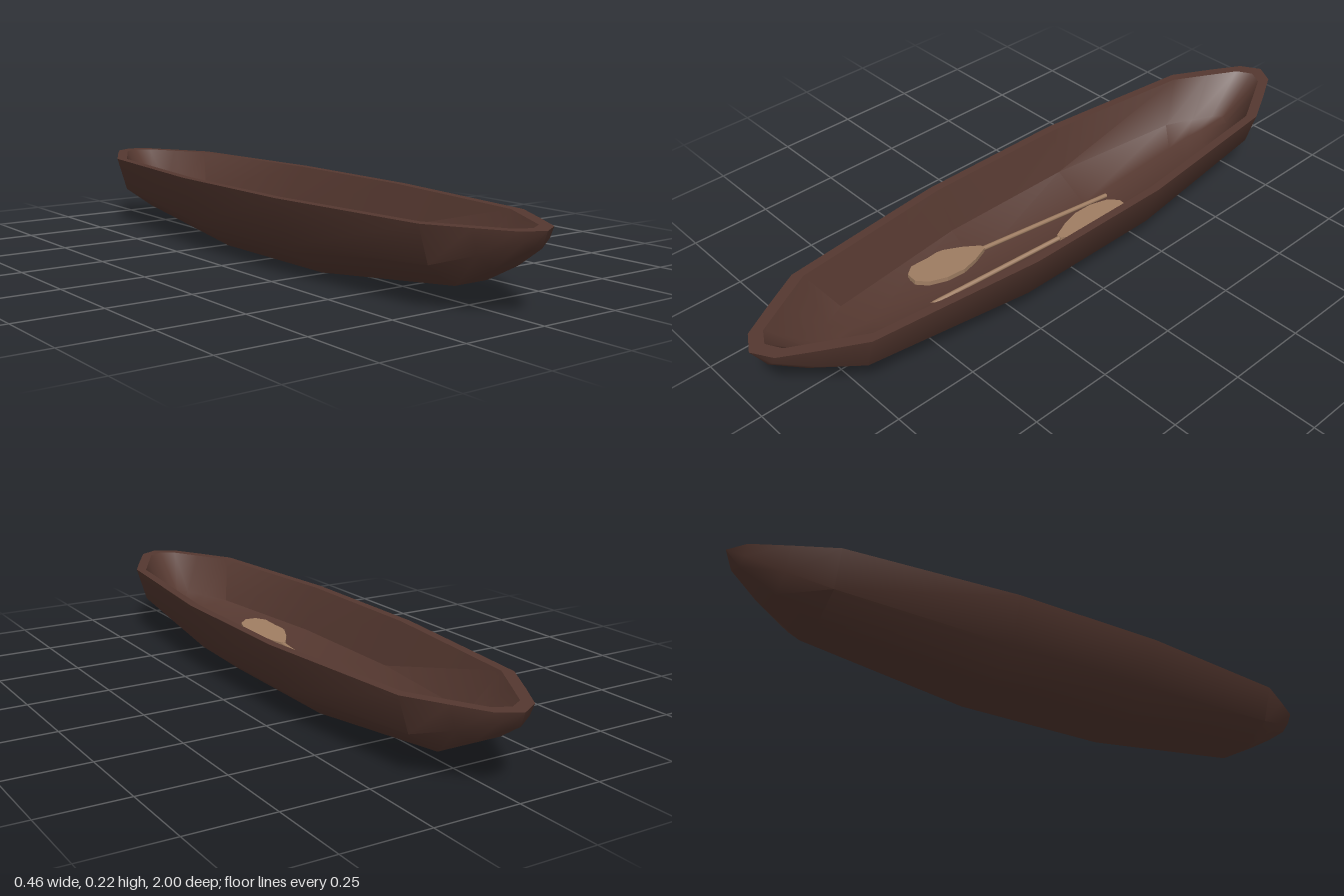
import * as THREE from 'three';
import { toCreasedNormals } from 'three/addons/utils/BufferGeometryUtils.js';

const hullWood = new THREE.MeshStandardMaterial({ color: 0x553830 });
hullWood.name = 'darkWood';
const paddleWood = new THREE.MeshStandardMaterial({ color: 0x9f7d62 });
paddleWood.name = 'lightWood';

// Half outlines [x, y, z] of each hull line, from the tip to amidships
const lines = [
  // outside: rim, chine, keel edge
  [[0, 0.225, 1], [0.06, 0.225, 0.965], [0.115, 0.225, 0.87], [0.178, 0.225, 0.755], [0.232, 0.225, 0.24]],
  [[0, 0.225, 1], [0.045, 0.197, 0.965], [0.095, 0.157, 0.87], [0.145, 0.12, 0.755], [0.19, 0.088, 0.24]],
  [[0, 0.225, 1], [0.02, 0.175, 0.965], [0.042, 0.115, 0.87], [0.055, 0.057, 0.755], [0.072, 0, 0.24]],
  // inside: floor, chine, rim
  [[0, 0.095, 0.76], [0.02, 0.09, 0.73], [0.03, 0.084, 0.68], [0.04, 0.068, 0.6], [0.055, 0.03, 0.22]],
  [[0, 0.115, 0.82], [0.03, 0.113, 0.8], [0.065, 0.108, 0.74], [0.11, 0.1, 0.66], [0.165, 0.095, 0.22]],
  [[0, 0.225, 0.955], [0.045, 0.225, 0.93], [0.095, 0.225, 0.84], [0.153, 0.225, 0.735], [0.207, 0.225, 0.23]],
];

// One closed cross-section through the hull: outside across, then inside back
function section(i, end) {
  const at = (line, side) => {
    const [x, y, z] = lines[line][i];
    return new THREE.Vector3(x * side, y, z * end);
  };
  return [
    at(0, 1), at(1, 1), at(2, 1), at(2, -1), at(1, -1), at(0, -1),
    at(5, -1), at(4, -1), at(3, -1), at(3, 1), at(4, 1), at(5, 1),
  ];
}

function hullGeometry() {
  const sections = [];
  for (let i = 0; i < 5; i++) sections.push(section(i, 1));
  for (let i = 4; i >= 0; i--) sections.push(section(i, -1));
  const pos = [];
  const tri = (a, b, c) => {
    const area = b.clone().sub(a).cross(c.clone().sub(a)).length();
    if (area > 1e-7) for (const p of [a, b, c]) pos.push(p.x, p.y, p.z);
  };
  for (let s = 0; s < sections.length - 1; s++) {
    const A = sections[s], B = sections[s + 1];
    for (let j = 0; j < A.length; j++) {
      const k = (j + 1) % A.length;
      tri(A[j], A[k], B[j]);
      tri(A[k], B[k], B[j]);
    }
  }
  const g = new THREE.BufferGeometry();
  g.setAttribute('position', new THREE.Float32BufferAttribute(pos, 3));
  return toCreasedNormals(g, 0.7);
}

// Paddle along z: butt at -0.365, blade tip at +0.365
function paddle(name) {
  const group = new THREE.Group();
  group.name = name;

  const shaftGeo = new THREE.CylinderGeometry(0.007, 0.007, 0.52, 8);
  shaftGeo.rotateX(Math.PI / 2);
  const shaft = new THREE.Mesh(shaftGeo, paddleWood);
  shaft.name = 'paddleShaft';
  shaft.position.z = -0.105;

  const half = [[0.008, 0.115], [0.035, 0.165], [0.055, 0.22], [0.058, 0.28], [0.045, 0.335], [0.018, 0.365]];
  const outline = [
    ...half.map(([x, z]) => new THREE.Vector2(x, -z)),
    ...half.slice().reverse().map(([x, z]) => new THREE.Vector2(-x, -z)),
  ];
  const bladeGeo = new THREE.ExtrudeGeometry(new THREE.Shape(outline), { depth: 0.014, bevelEnabled: false });
  bladeGeo.translate(0, 0, -0.007);
  bladeGeo.rotateX(-Math.PI / 2);
  const blade = new THREE.Mesh(bladeGeo, paddleWood);
  blade.name = 'paddleBlade';

  group.add(shaft, blade);
  group.rotation.order = 'YXZ';
  return group;
}

export function createModel() {
  const model = new THREE.Group();
  model.name = 'canoe';

  const hull = new THREE.Mesh(hullGeometry(), hullWood);
  hull.name = 'hull';
  model.add(hull);

  // Two paddles lying in opposite directions, blades slightly raised
  const rightPaddle = paddle('rightPaddle');
  rightPaddle.position.set(-0.053, 0.064, 0.075);
  rightPaddle.rotation.set(-0.055, -0.08, 0);
  const leftPaddle = paddle('leftPaddle');
  leftPaddle.position.set(0.04, 0.062, 0.105);
  leftPaddle.rotation.set(-0.05, Math.PI - 0.11, 0);
  model.add(rightPaddle, leftPaddle);

  return model;
}
